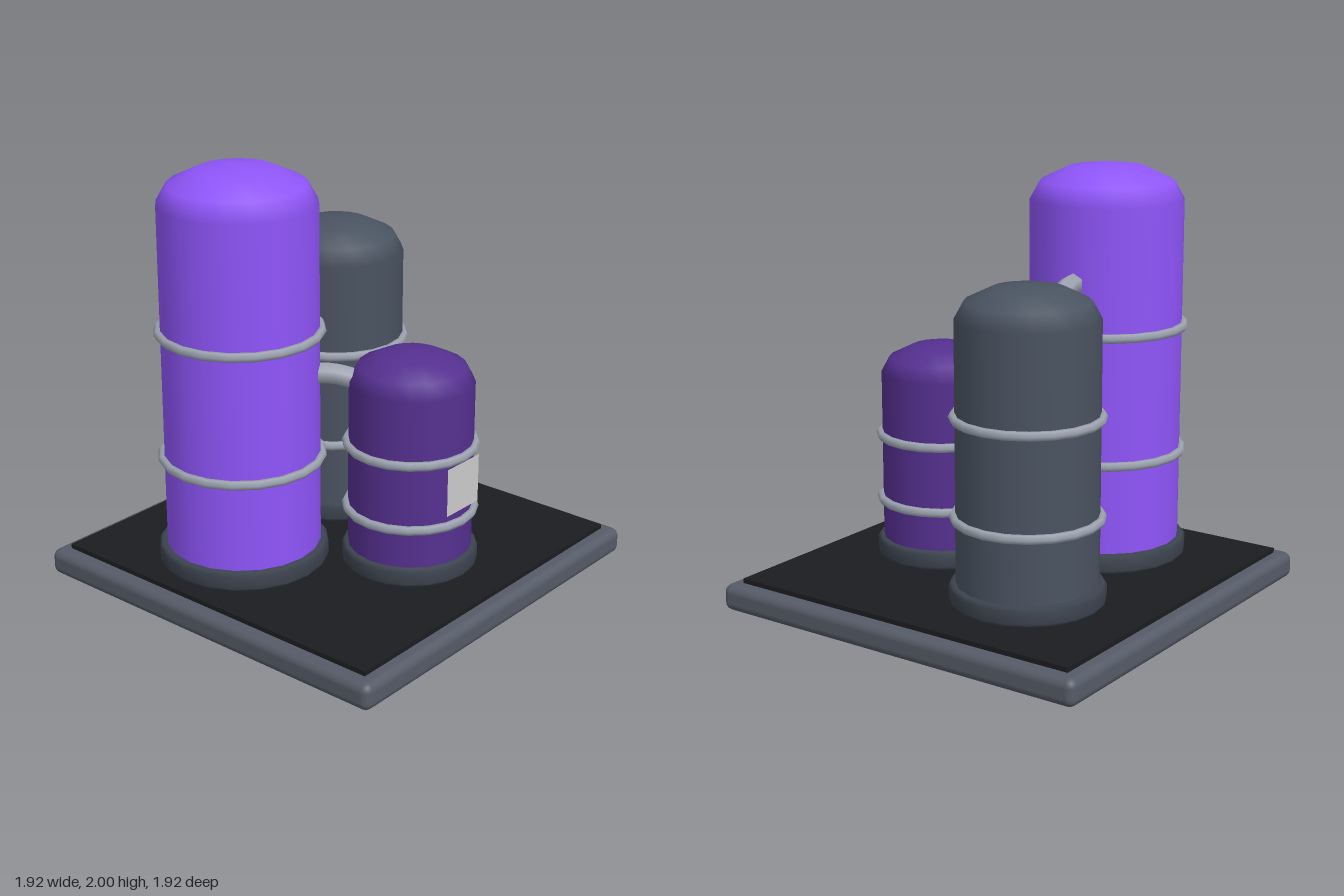
import * as THREE from 'three';
import { RoundedBoxGeometry } from 'three/addons/geometries/RoundedBoxGeometry.js';

const SIDES = 20;
const mat = (color) => new THREE.MeshStandardMaterial({ color });
const trimMat = mat(0x555b67);
const plateMat = mat(0x1c1d20);
const collarMat = mat(0x3c434e);
const metalMat = mat(0x9ca3af);
const greyMat = mat(0xcccccc);

function add(parent, name, geometry, material, x = 0, y = 0, z = 0) {
  const mesh = new THREE.Mesh(geometry, material);
  mesh.name = name;
  mesh.position.set(x, y, z);
  parent.add(mesh);
  return mesh;
}

const FLOOR = 0.147;

// Upright tank: collar, cylinder, flattened dome and two hoops
function makeTank({ name, x, z, r, shoulder, top, hoops, color }) {
  const tank = new THREE.Group();
  tank.name = name;
  tank.position.set(x, 0, z);
  const shell = mat(color);

  const h = shoulder - FLOOR;
  add(tank, 'tankBody', new THREE.CylinderGeometry(r, r, h, SIDES), shell, 0, FLOOR + h / 2, 0);

  const dome = add(tank, 'tankDome',
    new THREE.SphereGeometry(r, SIDES, 3, 0, Math.PI * 2, 0, Math.PI / 2), shell, 0, shoulder, 0);
  dome.scale.y = (top - shoulder) / r;

  // Collar with small chamfers
  const R = r * 1.1;
  const profile = [
    [r * 0.9, FLOOR], [R - 0.012, FLOOR], [R, FLOOR + 0.015],
    [R, 0.22], [R - 0.012, 0.235], [r * 0.98, 0.235],
  ].map(([px, py]) => new THREE.Vector2(px, py));
  add(tank, 'collar', new THREE.LatheGeometry(profile, SIDES), collarMat);

  for (const y of hoops) {
    const hoop = add(tank, 'hoop', new THREE.TorusGeometry(r + 0.007, 0.022, 6, SIDES), metalMat, 0, y, 0);
    hoop.rotation.x = Math.PI / 2;
  }
  return tank;
}

// Short bent pipe bridging the gap between two tanks
function addPipe(parent, name, a, b, yStart, yMid, yEnd) {
  const from = new THREE.Vector3(a.x, 0, a.z);
  const dir = new THREE.Vector3(b.x, 0, b.z).sub(from);
  const dist = dir.length();
  dir.normalize();
  const at = (d, y) => from.clone().addScaledVector(dir, d).setY(y);
  const curve = new THREE.CatmullRomCurve3([
    at(a.r - 0.08, yStart),
    at((a.r + dist - b.r) / 2, yMid),
    at(dist - b.r + 0.1, yEnd),
  ]);
  add(parent, name, new THREE.TubeGeometry(curve, 8, 0.05, 6, false), metalMat);
}

export function createModel() {
  const model = new THREE.Group();
  model.name = 'storageTanks';

  // Base slab with dark inset deck
  add(model, 'baseSlab', new RoundedBoxGeometry(1.92, 0.125, 1.92, 3, 0.04), trimMat, 0, 0.0625, 0);
  add(model, 'deck', new THREE.BoxGeometry(1.78, 0.04, 1.78), plateMat, 0, FLOOR - 0.02, 0);

  const tall = { name: 'tallTank', x: -0.428, z: -0.213, r: 0.355, shoulder: 1.83, top: 2, hoops: [0.655, 1.25], color: 0x8f55fa };
  const middle = { name: 'middleTank', x: 0.355, z: -0.32, r: 0.318, shoulder: 1.415, top: 1.57, hoops: [0.535, 0.985], color: 0x4a5361 };
  const small = { name: 'smallTank', x: 0.034, z: 0.394, r: 0.283, shoulder: 1.025, top: 1.165, hoops: [0.42, 0.73], color: 0x553090 };
  for (const spec of [tall, middle, small]) model.add(makeTank(spec));

  addPipe(model, 'upperPipe', tall, middle, 1.485, 1.483, 1.405);
  addPipe(model, 'lowerPipe', tall, small, 1.045, 1.045, 1.0);

  // Flat label panel on the small tank
  add(model, 'labelPanel', new THREE.PlaneGeometry(0.227, 0.227), greyMat,
    small.x, 0.595, small.z + small.r + 0.012);

  return model;
}
